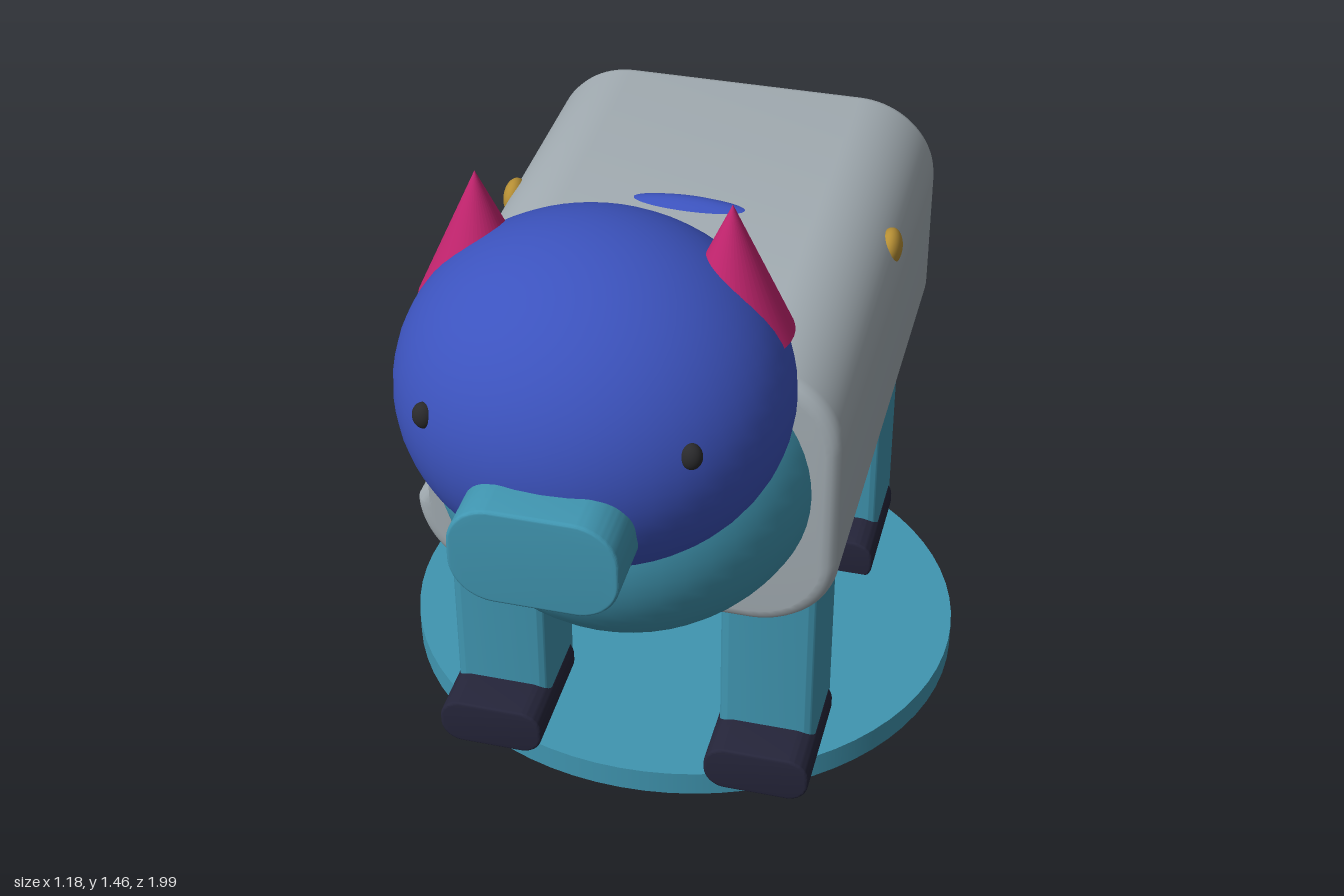
import * as THREE from 'three';
import { toCreasedNormals } from 'three/addons/utils/BufferGeometryUtils.js';

const mat = (name, color) => {
  const m = new THREE.MeshStandardMaterial({ color });
  m.name = name;
  return m;
};

// Rounded rectangle in xy, extruded along z from 0 to depth; leftYs adds points on the -x side
function roundedPrism(w, h, r, depth, bevel = 0, leftYs = []) {
  const s = new THREE.Shape(), x = w / 2 - r, y = h / 2 - r, q = Math.PI / 2;
  s.absarc(x, y, r, 0, q);
  s.absarc(-x, y, r, q, 2 * q);
  leftYs.forEach((ly) => s.lineTo(-w / 2, ly));
  s.absarc(-x, -y, r, 2 * q, 3 * q);
  s.absarc(x, -y, r, 3 * q, 4 * q);
  const g = new THREE.ExtrudeGeometry(s, {
    depth: depth - 2 * bevel, curveSegments: 10, bevelEnabled: bevel > 0,
    bevelSize: bevel, bevelThickness: bevel, bevelOffset: -bevel, bevelSegments: 4,
  });
  return g.translate(0, 0, bevel);
}

// Tail: level rings swept along a path, closed at both ends
function tailGeometry() {
  const path = new THREE.CatmullRomCurve3([
    [0, 0.27, -0.565], [0, 0.302, -0.69], [0, 0.335, -0.79], [0.03, 0.367, -0.87], [0.065, 0.39, -0.95],
  ].map((p) => new THREE.Vector3(...p)));
  const rings = 20, sides = 24, pos = [], idx = [];
  for (let i = 0; i <= rings; i++) {
    const c = path.getPoint(i / rings), r = 0.062 - 0.01 * (i / rings), tilt = 0.27 - 0.12 * (i / rings);
    for (let j = 0; j < sides; j++) {
      const a = (j / sides) * Math.PI * 2, dz = -Math.sin(a) * r * 0.85;
      pos.push(c.x + Math.cos(a) * r, c.y + dz * tilt, c.z + dz);
    }
  }
  for (let i = 0; i < rings; i++) {
    for (let j = 0; j < sides; j++) {
      const a = i * sides + j, b = i * sides + ((j + 1) % sides);
      idx.push(a, b, a + sides, b, b + sides, a + sides);
    }
  }
  const top = rings * sides;
  for (let j = 1; j < sides - 1; j++) idx.push(0, j + 1, j, top, top + j, top + j + 1);
  const g = new THREE.BufferGeometry();
  g.setAttribute('position', new THREE.Float32BufferAttribute(pos, 3));
  g.setIndex(idx);
  return toCreasedNormals(g, 0.7);
}

export function createModel() {
  const group = new THREE.Group();
  const blue = mat('blue', 0x3c53be), teal = mat('teal', 0x4096b1), grey = mat('grey', 0xa4aeb4);
  const gold = mat('gold', 0xb58e34), pink = mat('pink', 0xc2246e);
  const dark = mat('hoof navy', 0x25253a), black = mat('eye black', 0x2a2a2c);

  const add = (name, geo, material, x = 0, y = 0, z = 0) => {
    const m = new THREE.Mesh(geo, material);
    m.name = name;
    m.position.set(x, y, z);
    group.add(m);
    return m;
  };
  const ball = (name, material, x, y, z, rx, ry, rz) =>
    add(name, new THREE.SphereGeometry(1, 48, 32), material, x, y, z).scale.set(rx, ry, rz);

  // Oval base
  add('base', new THREE.CylinderGeometry(1, 1, 0.055, 72), teal, 0, 0.0275, -0.05).scale.set(0.59, 1, 0.55);

  // Body, with a groove on the right flank that deepens toward the front
  const body = roundedPrism(0.84, 0.6, 0.17, 1.06, 0.03, [-0.08]);
  const p = body.attributes.position;
  for (let i = 0; i < p.count; i++) {
    if (p.getX(i) < -0.35 && Math.abs(p.getY(i) + 0.08) < 0.01) p.setX(i, p.getX(i) + 0.03 * (p.getZ(i) / 1.06));
  }
  add('body', toCreasedNormals(body, 0.5), grey, 0, 0.76, -0.61);
  ball('bodyBand', blue, 0, 0.76, -0.08, 0.42, 0.312, 0.11);

  // Chest and head
  ball('chest', teal, 0, 0.79, 0.37, 0.376, 0.345, 0.375);
  ball('head', blue, 0, 1.096, 0.605, 0.358, 0.316, 0.33);
  add('snout', toCreasedNormals(roundedPrism(0.3, 0.195, 0.08, 0.2, 0.006), 0.5), teal, 0, 1.003, 0.8);

  for (const s of [-1, 1]) {
    ball('eye', black, s * 0.233, 1.157, 0.843, 0.02, 0.025, 0.018);
    add('ear', new THREE.ConeGeometry(0.112, 0.25, 40), pink, s * 0.228, 1.335, 0.535);
    ball('sideButton', gold, s * 0.395, 0.96, -0.175, 0.024, 0.04, 0.04);
    // Legs and hooves
    for (const [name, legZ, hoofZ] of [['front', 0.295, 0.23], ['back', -0.41, -0.475]]) {
      const leg = roundedPrism(0.2, 0.195, 0.025, 0.54).rotateX(-Math.PI / 2);
      add(name + 'Leg', toCreasedNormals(leg, 0.5), teal, s * 0.28, 0.08, legZ);
      const hoof = roundedPrism(0.216, 0.105, 0.045, 0.255, 0.006);
      add(name + 'Hoof', toCreasedNormals(hoof, 0.5), dark, s * 0.28, 0.0875, hoofZ);
    }
  }

  add('tail', tailGeometry(), blue);
  return group;
}
